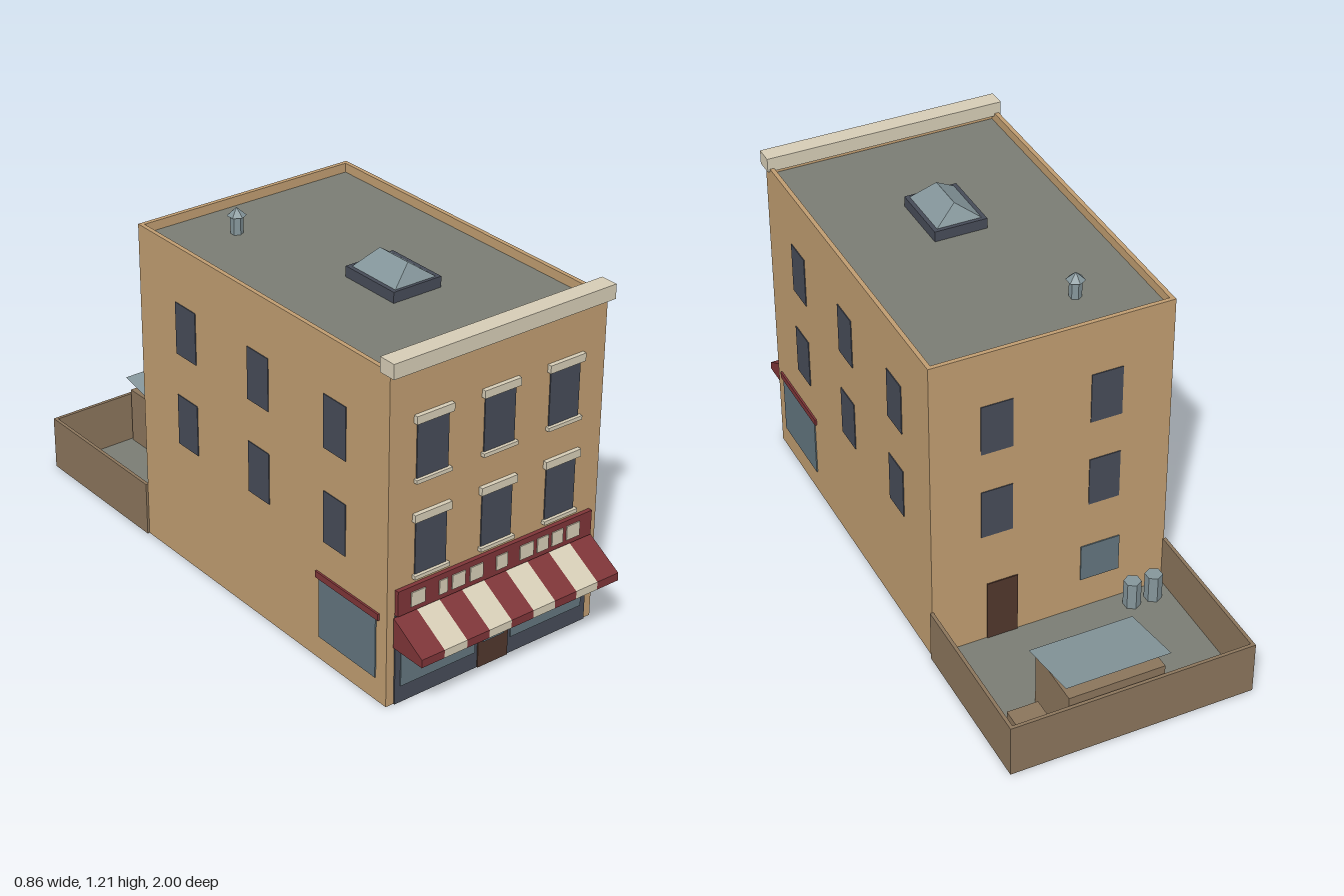
import * as THREE from 'three';

export function createModel() {
  const model = new THREE.Group();
  model.name = 'shopBuilding';
  const mat = (name, color, extra = {}) => {
    const m = new THREE.MeshStandardMaterial({ color, ...extra });
    m.name = name;
    return m;
  };
  const tan = mat('tanWall', 0xbf9c70);
  const cream = mat('creamStone', 0xd5ccb5);
  const dark = mat('darkFrame', 0x464b57);
  const glass = mat('shopGlass', 0x62747d);
  const metal = mat('paleMetal', 0x84959a, { side: THREE.DoubleSide, flatShading: true });
  const grey = mat('greyRoof', 0x7a7c73);
  const brown = mat('brownWood', 0x8a745b);
  const red = mat('darkRed', 0x7d3437);
  const doorBrown = mat('doorBrown', 0x50362c);

  const add = (name, geometry, material, parent = model) => {
    const mesh = new THREE.Mesh(geometry, material);
    mesh.name = name;
    parent.add(mesh);
    return mesh;
  };
  // Box given by its limits on each axis
  const block = (name, material, x0, x1, y0, y1, z0, z1) => {
    const g = new THREE.BoxGeometry(x1 - x0, y1 - y0, z1 - z0);
    g.translate((x0 + x1) / 2, (y0 + y1) / 2, (z0 + z1) / 2);
    return add(name, g, material);
  };

  // Main walls, roof deck and parapets
  block('walls', tan, -0.42, 0.42, 0, 1.11, -0.42, 0.86);
  block('roofDeck', grey, -0.407, 0.407, 1.11, 1.118, -0.407, 0.845);
  for (const s of [-1, 1]) {
    const a = s * 0.42, b = s * 0.405;
    block('sideParapet', tan, Math.min(a, b), Math.max(a, b), 1.11, 1.15, -0.42, 0.86);
  }
  block('rearParapet', tan, -0.405, 0.405, 1.11, 1.15, -0.42, -0.405);
  block('frontParapet', tan, -0.405, 0.405, 1.11, 1.15, 0.845, 0.86);
  block('cornice', cream, -0.428, 0.428, 1.14, 1.19, 0.823, 0.886);

  // Upper windows on all four sides
  const floors = [[0.44, 0.625], [0.77, 0.957]];
  for (const [y0, y1] of floors) {
    for (const x of [-0.258, 0, 0.258]) {
      block('frontWindow', dark, x - 0.06, x + 0.06, y0, y1, 0.86, 0.864);
      block('lintel', cream, x - 0.071, x + 0.071, y1, y1 + 0.027, 0.86, 0.875);
      block('sill', cream, x - 0.068, x + 0.068, y0 - 0.013, y0, 0.86, 0.875);
    }
    for (const z of [0.605, 0.22, -0.165]) {
      block('leftWindow', dark, 0.42, 0.423, y0, y1 - 0.004, z - 0.054, z + 0.054);
      block('rightWindow', dark, -0.423, -0.42, y0, y1 - 0.004, z - 0.054, z + 0.054);
    }
    for (const x of [-0.188, 0.192]) {
      block('rearWindow', dark, x - 0.055, x + 0.055, y0, y1 - 0.004, -0.423, -0.42);
    }
  }

  // Side shop windows with red heads
  for (const s of [-1, 1]) {
    const x = s * 0.422;
    block('sideShopWindow', glass, x - 0.002, x + 0.002, 0.083, 0.3, 0.53, 0.81);
    block('sideShopHead', red, x - 0.005, x + 0.005, 0.297, 0.32, 0.515, 0.825);
  }

  // Rear door and ground floor window
  block('rearDoor', doorBrown, 0.118, 0.227, 0.01, 0.24, -0.424, -0.42);
  block('rearGroundWindow', glass, -0.25, -0.11, 0.13, 0.27, -0.424, -0.42);

  // Shopfront
  block('shopfront', dark, -0.39, 0.39, 0, 0.32, 0.86, 0.865);
  block('shopWindow', glass, -0.369, -0.073, 0.06, 0.28, 0.865, 0.868);
  block('shopWindow', glass, 0.073, 0.369, 0.06, 0.28, 0.865, 0.868);
  block('shopDoor', doorBrown, -0.061, 0.061, 0, 0.28, 0.865, 0.869);
  block('shopDoorGlass', glass, -0.043, 0.043, 0.09, 0.25, 0.869, 0.872);

  // Sign board with plain cream panels
  block('signBoard', red, -0.39, 0.39, 0.322, 0.41, 0.86, 0.875);
  const panels = [[-0.341, -0.287], [-0.232, -0.2], [-0.181, -0.13], [-0.11, -0.059], [-0.005, 0.04],
    [0.091, 0.146], [0.162, 0.207], [0.223, 0.268], [0.284, 0.338]];
  for (const [x0, x1] of panels) block('signPanel', cream, x0, x1, 0.34, 0.39, 0.875, 0.879);

  // Striped awning: one wedge slice per stripe
  const profile = new THREE.Shape([[0.865, 0.21], [1, 0.21], [1, 0.238], [0.865, 0.316]]
    .map(([z, y]) => new THREE.Vector2(-z, y)));
  const stripe = 0.796 / 9;
  for (let i = 0; i < 9; i++) {
    const g = new THREE.ExtrudeGeometry(profile, { depth: stripe, bevelEnabled: false });
    g.rotateY(Math.PI / 2);
    g.translate(-0.398 + i * stripe, 0, 0);
    add('awningStripe', g, i % 2 ? cream : red);
  }

  // Skylight: curb and hipped glazing
  block('skylightCurb', dark, -0.093, 0.093, 1.118, 1.155, 0.235, 0.47);
  const hip = new THREE.BoxGeometry(0.16, 0.057, 0.212);
  const p = hip.attributes.position;
  for (let i = 0; i < p.count; i++) {
    if (p.getY(i) > 0) {
      p.setX(i, p.getX(i) * 0.005);
      p.setZ(i, p.getZ(i) * 0.64);
    }
  }
  hip.computeVertexNormals();
  add('skylightGlazing', hip, metal).position.set(0, 1.1825, 0.354);

  // Roof vent
  add('ventPipe', new THREE.CylinderGeometry(0.021, 0.021, 0.07, 6), metal).position.set(-0.17, 1.15, -0.23);
  add('ventCap', new THREE.ConeGeometry(0.032, 0.028, 6), metal).position.set(-0.17, 1.194, -0.23);

  // Rear yard
  block('yardFloor', grey, -0.42, 0.42, 0, 0.01, -0.99, -0.42);
  block('yardSideWall', brown, 0.416, 0.428, 0, 0.192, -1, -0.42);
  block('yardSideWall', brown, -0.428, -0.416, 0, 0.192, -1, -0.42);
  block('yardRearWall', brown, -0.416, 0.416, 0, 0.192, -1, -0.988);
  block('shed', brown, -0.115, 0.22, 0.01, 0.214, -0.979, -0.754);
  block('crate', brown, 0.255, 0.363, 0.01, 0.1, -0.95, -0.842);
  for (const x of [-0.353, -0.274]) {
    add('bin', new THREE.CylinderGeometry(0.03, 0.03, 0.1, 6), metal).position.set(x, 0.06, -0.48);
  }

  // Tilted sheet roof over the shed
  const sheet = new THREE.PlaneGeometry(0.365, Math.hypot(0.25, 0.05));
  sheet.rotateX(-Math.PI / 2 + Math.atan2(0.05, 0.25));
  add('shedRoof', sheet, metal).position.set(0.052, 0.241, -0.86);

  return model;
}
